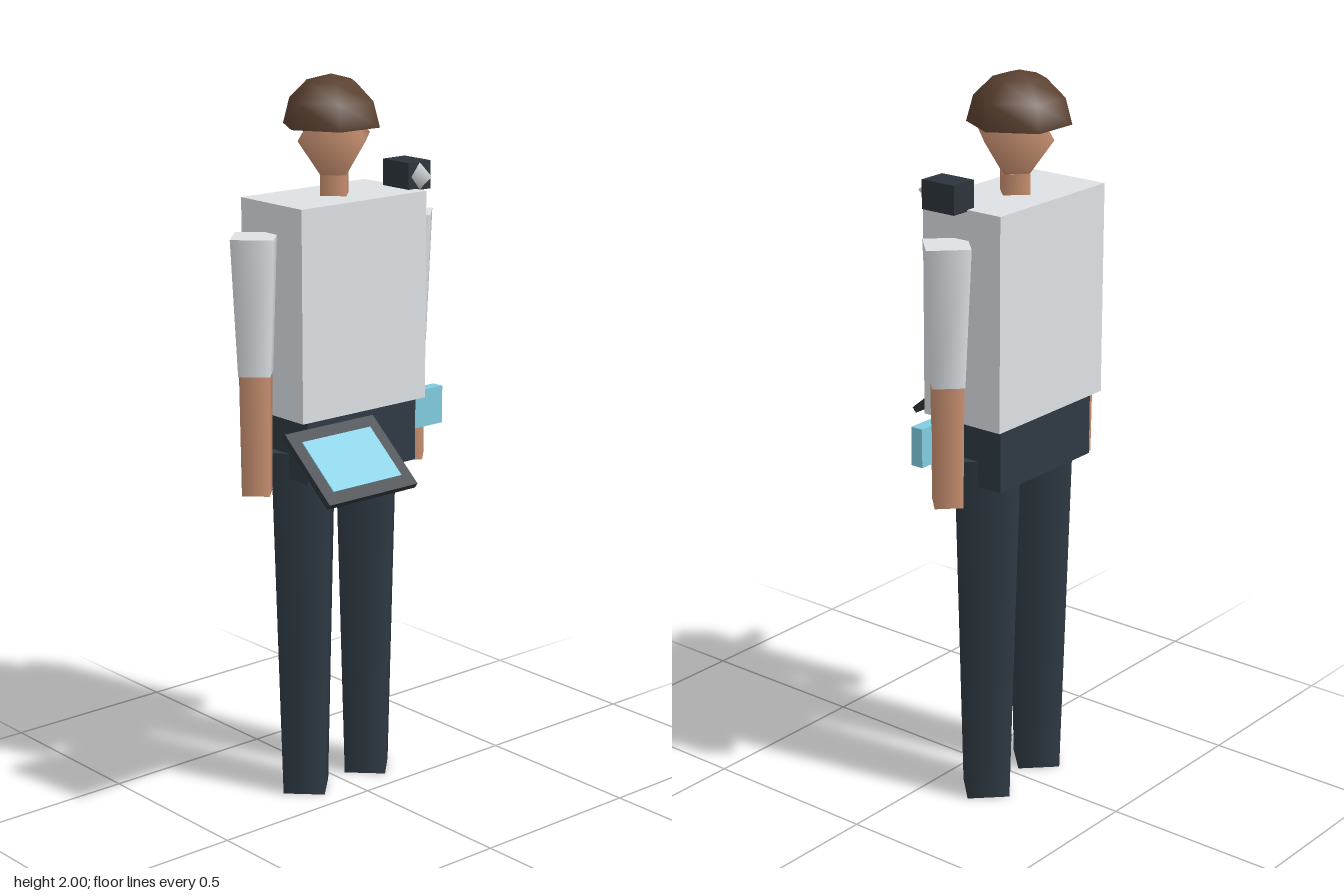
import * as THREE from 'three';

const paint = (name, color) => {
  const m = new THREE.MeshStandardMaterial({ color });
  m.name = name;
  return m;
};

export function createModel() {
  const shirt = paint('pale grey', 0xdde1e4);
  const trousers = paint('dark slate', 0x2f3a43);
  const skin = paint('skin', 0xc89070);
  const hairBrown = paint('brown', 0x5a4030);
  hairBrown.side = THREE.DoubleSide;
  const casing = paint('charcoal', 0x2d343b);
  const blue = paint('screen blue', 0x80cce0);
  const silver = paint('silver', 0xd4d8dc);

  const model = new THREE.Group();
  model.name = 'figure';
  const CX = 0.005, CZ = -0.141; // body axis

  const add = (name, geometry, material, x, y, z, parent = model) => {
    const mesh = new THREE.Mesh(geometry, material);
    mesh.name = name;
    mesh.position.set(x, y, z);
    parent.add(mesh);
    return mesh;
  };
  const box = (w, h, d) => new THREE.BoxGeometry(w, h, d);
  // Four-sided tapered limb between two heights
  const limb = (name, material, x, rTop, rBottom, yTop, yBottom) =>
    add(name, new THREE.CylinderGeometry(rTop, rBottom, yTop - yBottom, 4),
      material, CX + x, (yTop + yBottom) / 2, CZ);

  // Trunk
  add('torso', box(0.436, 0.575, 0.252), shirt, CX, 1.3925, CZ);
  add('pelvis', box(0.384, 0.175, 0.224), trousers, CX, 1.0175, CZ + 0.003);
  limb('neck', skin, 0, 0.05, 0.05, 1.735, 1.67);

  // Head and open hair cap
  const head = add('head', new THREE.SphereGeometry(0.126, 4, 2), skin, CX, 1.834, CZ);
  head.scale.y = 1.27;
  add('hair', new THREE.SphereGeometry(0.137, 6, 3, 0, Math.PI * 2, 0, Math.PI / 2),
    hairBrown, CX, 1.863, CZ - 0.012);

  // Arms and legs
  for (const [side, s] of [['left', 1], ['right', -1]]) {
    limb(side + 'Sleeve', shirt, s * 0.275, 0.081, 0.06, 1.6, 1.23);
    limb(side + 'Forearm', skin, s * 0.275, 0.057, 0.053, 1.232, 0.9);
    limb(side + 'Leg', trousers, s * 0.113, 0.113, 0.082, 1.0, 0);
  }

  // Tilted tablet held in front of the right hand
  const tablet = new THREE.Group();
  tablet.name = 'tablet';
  tablet.position.set(-0.213, 1.046, 0.177);
  tablet.rotation.x = THREE.MathUtils.degToRad(40);
  model.add(tablet);
  add('tabletFrame', box(0.3, 0.018, 0.233), casing, 0, 0, 0, tablet);
  add('tabletScreen', box(0.232, 0.004, 0.163), blue, 0, 0.01, 0, tablet);

  // Wrist display on the left forearm
  add('wristDisplay', box(0.106, 0.106, 0.036), blue, 0.28, 1.057, -0.082);

  // Shoulder camera
  add('cameraBody', box(0.08, 0.077, 0.105), casing, 0.235, 1.714, -0.108);
  const lens = add('cameraLens', new THREE.SphereGeometry(0.037, 5, 2), silver, 0.235, 1.714, -0.055);
  lens.rotation.z = Math.PI;

  return model;
}
